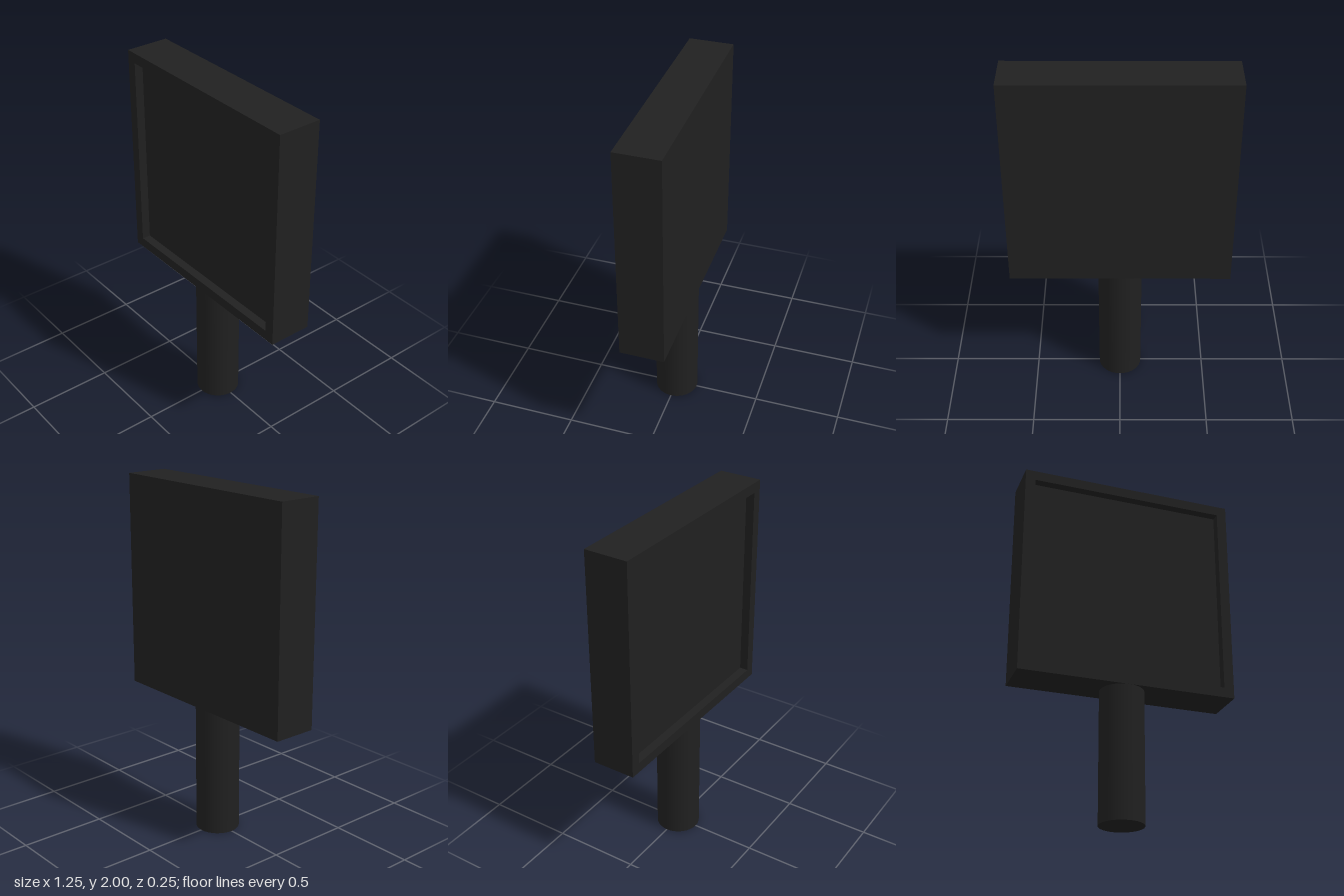
import * as THREE from 'three';

const SIZE = 1.246;    // square panel side
const DEPTH = 0.25;    // panel thickness and post diameter
const RECESS = 0.05;   // depth of the sunken face
const BORDER = 0.058;  // rim width
const POST = 2 - SIZE; // post height

// Adds a square outline of the given side to a path
function square(path, side) {
  const h = side / 2;
  path.moveTo(-h, -h);
  path.lineTo(h, -h);
  path.lineTo(h, h);
  path.lineTo(-h, h);
  path.closePath();
  return path;
}

export function createModel() {
  const group = new THREE.Group();
  const material = new THREE.MeshStandardMaterial({ color: 0x202020 });

  const add = (name, geometry, y, z) => {
    const mesh = new THREE.Mesh(geometry, material);
    mesh.name = name;
    mesh.position.set(0, y, z);
    group.add(mesh);
  };

  const centreY = POST + SIZE / 2;

  // Solid body of the sign, whose front is the sunken face
  add('panelBody', new THREE.BoxGeometry(SIZE, SIZE, DEPTH - RECESS), centreY, -RECESS / 2);

  // Raised square rim around the face
  const rim = square(new THREE.Shape(), SIZE);
  rim.holes.push(square(new THREE.Path(), SIZE - 2 * BORDER));
  add('frontRim', new THREE.ExtrudeGeometry(rim, { depth: RECESS, bevelEnabled: false }),
    centreY, DEPTH / 2 - RECESS);

  // Round post
  add('post', new THREE.CylinderGeometry(DEPTH / 2, DEPTH / 2, POST, 32), POST / 2, 0);

  return group;
}
